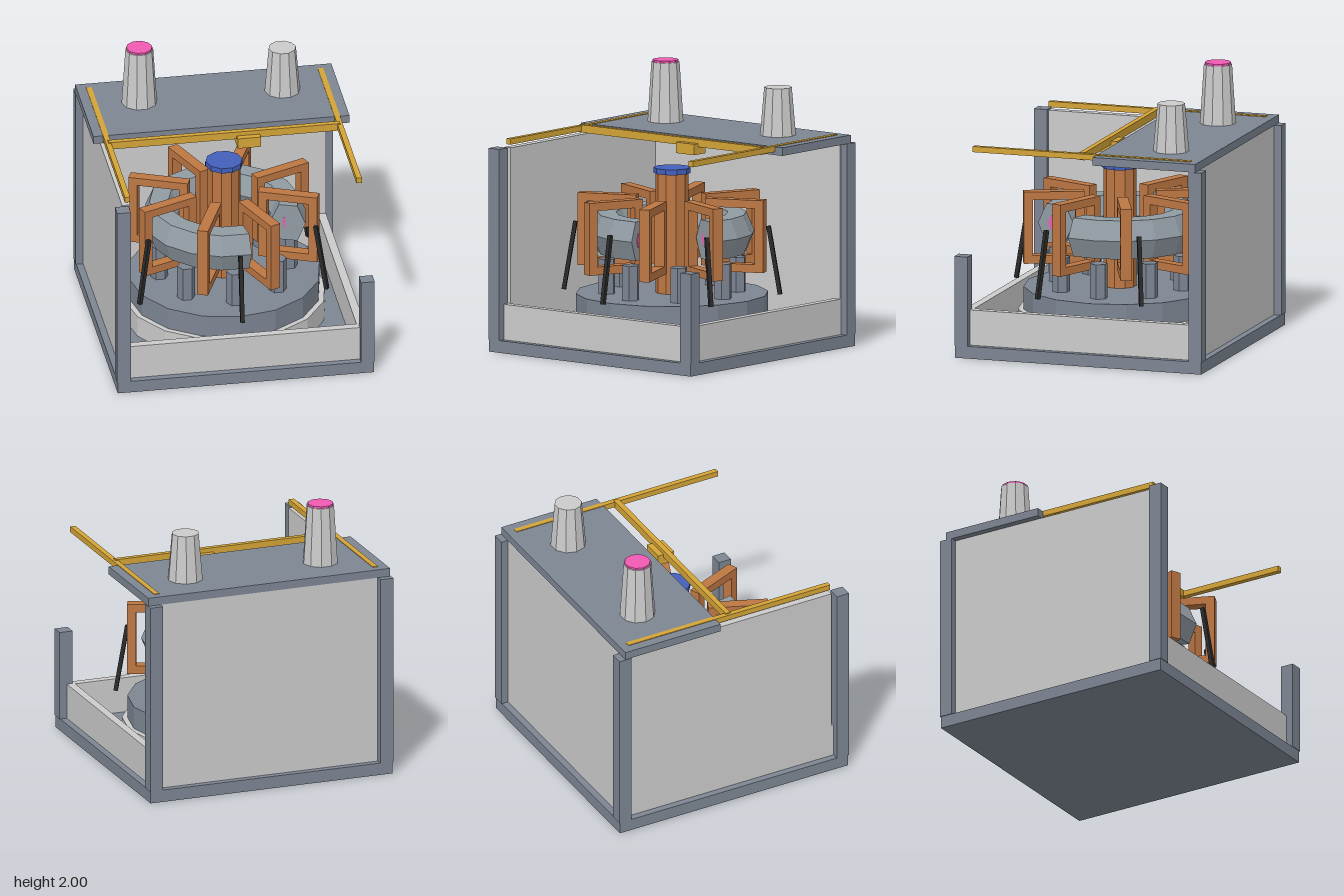
import * as THREE from 'three';

const mat = (color, side = THREE.FrontSide) =>
  new THREE.MeshStandardMaterial({ color, side, flatShading: true });

export function createModel() {
  const model = new THREE.Group();
  const M = {
    grey: mat(0xcccccc), steel: mat(0x7d8693), vessel: mat(0x919ba3, THREE.DoubleSide),
    copper: mat(0xbd7743), yellow: mat(0xd4a437), blue: mat(0x445fbb),
    pink: mat(0xf05ab4), black: mat(0x2a2a2a),
  };

  const add = (name, geo, material, x = 0, y = 0, z = 0, parent = model) => {
    const m = new THREE.Mesh(geo, material);
    m.name = name;
    m.position.set(x, y, z);
    parent.add(m);
    return m;
  };
  // box given by its min and max on each axis
  const box = (name, material, [x0, x1], [y0, y1], [z0, z1], parent) =>
    add(name, new THREE.BoxGeometry(x1 - x0, y1 - y0, z1 - z0), material,
      (x0 + x1) / 2, (y0 + y1) / 2, (z0 + z1) / 2, parent);
  // upright prism with a corner on the x axis
  const prism = (name, material, rTop, rBottom, sides, y0, y1, x = 0, z = 0, parent) =>
    add(name, new THREE.CylinderGeometry(rTop, rBottom, y1 - y0, sides).rotateY(Math.PI / 2),
      material, x, (y0 + y1) / 2, z, parent);
  // group whose local x axis points outward at the given angle (0 = +x, 90 = +z)
  const spoke = (name, degrees) => {
    const g = new THREE.Group();
    g.name = name;
    g.rotation.y = -THREE.MathUtils.degToRad(degrees);
    model.add(g);
    return g;
  };

  // Building: slab, corner columns, two full and two low walls, half roof
  box('floorSlab', M.steel, [-0.94, 0.94], [0, 0.09], [-0.94, 0.94]);
  for (const sx of [-1, 1]) for (const sz of [-1, 1]) {
    const x = sx * 0.895, z = sz * 0.895, top = sx > 0 && sz > 0 ? 0.75 : 1.49;
    box('cornerColumn', M.steel, [x - 0.05, x + 0.05], [0.09, top], [z - 0.05, z + 0.05]);
  }
  box('backWall', M.grey, [-0.89, 0.89], [0.09, 1.49], [-0.89, -0.83]);
  box('rightWall', M.grey, [-0.89, -0.83], [0.09, 1.49], [-0.83, 0.83]);
  box('frontLowWall', M.grey, [-0.89, 0.89], [0.09, 0.35], [0.83, 0.89]);
  box('leftLowWall', M.grey, [0.83, 0.89], [0.09, 0.35], [-0.83, 0.83]);
  box('roof', M.steel, [-0.94, 0.94], [1.49, 1.55], [-0.895, -0.11]);

  // Chimneys
  prism('tallChimney', M.grey, 0.102, 0.13, 10, 1.55, 1.985, -0.525, -0.57);
  prism('chimneyCap', M.pink, 0.095, 0.095, 10, 1.98, 2, -0.525, -0.57);
  prism('shortChimney', M.grey, 0.1, 0.13, 10, 1.55, 1.9, 0.525, -0.57);

  // Overhead crane
  for (const x of [-0.85, 0.85])
    box('craneRail', M.yellow, [x - 0.02, x + 0.02], [1.513, 1.555], [-0.83, 0.83]);
  box('craneGirder', M.yellow, [-0.85, 0.85], [1.505, 1.562], [-0.02, 0.02]);
  box('craneTrolley', M.yellow, [0.09, 0.26], [1.45, 1.53], [-0.065, 0.065]);

  // Plinth and central column
  prism('plinthRing', M.grey, 0.74, 0.74, 16, 0.09, 0.25);
  prism('plinth', M.steel, 0.7, 0.7, 16, 0.09, 0.415);
  prism('centralColumn', M.copper, 0.12, 0.12, 10, 0.415, 1.29);
  prism('columnCap', M.blue, 0.135, 0.135, 10, 1.29, 1.33);

  // Rectangular coil frames and the posts between them
  const frame = new THREE.Shape();
  frame.moveTo(0.26, 0.59).lineTo(0.7, 0.59).lineTo(0.7, 1.12).lineTo(0.26, 1.12).closePath();
  const opening = new THREE.Path();
  opening.moveTo(0.325, 0.65).lineTo(0.325, 1.06).lineTo(0.635, 1.06).lineTo(0.635, 0.65).closePath();
  frame.holes.push(opening);
  const coilGeo = new THREE.ExtrudeGeometry(frame, { depth: 0.08, bevelEnabled: false });
  for (let i = 0; i < 8; i++) {
    add('coilFrame', coilGeo, M.copper, 0, 0, -0.04, spoke('coil', 22.5 + i * 45));
    const a = i * Math.PI / 4;
    prism('supportPost', M.steel, 0.065, 0.065, 6, 0.415, 0.67, 0.475 * Math.cos(a), 0.475 * Math.sin(a));
  }

  // Ring vessel with an open sector, closed by end plates
  const section = [[0.6, 0.86], [0.54, 1], [0.405, 1], [0.34, 0.86], [0.405, 0.715], [0.54, 0.715]]
    .map(([r, y]) => new THREE.Vector2(r, y));
  const rad = THREE.MathUtils.degToRad;
  add('ringVessel', new THREE.LatheGeometry([...section, section[0]], 14, rad(70), rad(300)), M.vessel);
  const plateGeo = new THREE.ShapeGeometry(new THREE.Shape(section));
  const plasmaGeo = new THREE.CylinderGeometry(1, 1, 0.012, 8).rotateX(Math.PI / 2).scale(0.048, 0.066, 1);
  for (const angle of [20, 80]) {
    const end = spoke('vesselEnd', angle);
    add('endPlate', plateGeo, M.vessel, 0, 0, 0, end);
    // the plasma core only partly shows at the first end
    const core = add('plasmaCore', plasmaGeo, M.pink, 0.475, 0.86, angle === 20 ? -0.012 : 0, end);
    if (angle === 20) core.rotation.y = 0.22;
  }

  // Slanted struts around the plinth
  for (let i = 0; i < 6; i++) {
    const strut = add('strut', new THREE.BoxGeometry(0.03, 0.505, 0.03), M.black,
      0.75, 0.668, 0, spoke('strutSpoke', 30 + i * 60));
    strut.rotation.z = Math.atan2(0.085, 0.5);
  }

  return model;
}
